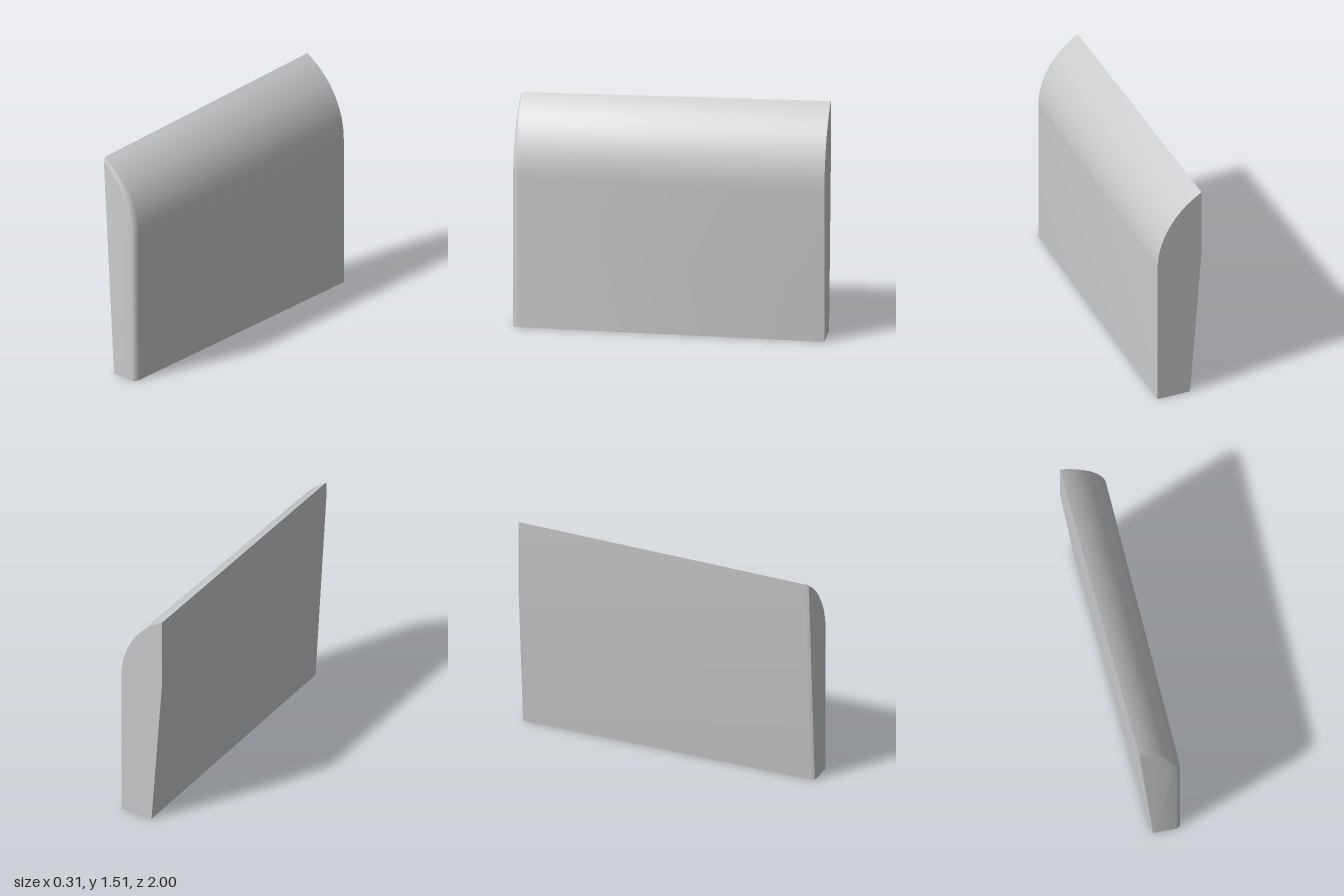
import * as THREE from 'three';
import { toCreasedNormals } from 'three/addons/utils/BufferGeometryUtils.js';

const ARC_STEPS = 20;

// One cross-section, counterclockwise seen from the front:
// flat base, upright right side, arc over the top, short left edge, sloping left side.
function section({ z, base, left, kink, top, right, spring, tilt = 0 }) {
  const w = right - left, h = top - spring;
  const radius = (w * w + h * h) / (2 * w);
  const sweep = Math.asin(h / radius);
  const ring = [[base, 0], [right, 0]];
  for (let i = 0; i <= ARC_STEPS; i++) {
    const a = sweep * i / ARC_STEPS;
    ring.push([right - radius + radius * Math.cos(a), spring + radius * Math.sin(a)]);
  }
  ring.push([left, kink]);
  return ring.map(([x, y]) => new THREE.Vector3(x, y, z - tilt * Math.max(0, 0.08 - x)));
}

// Skin the sections and close both ends with fans
function loft(rings) {
  const n = rings[0].length, pos = [];
  const tri = (...points) => points.forEach((p) => pos.push(p.x, p.y, p.z));
  for (let i = 0; i < rings.length - 1; i++) {
    for (let j = 0; j < n; j++) {
      const k = (j + 1) % n;
      const a = rings[i][j], b = rings[i][k], c = rings[i + 1][k], d = rings[i + 1][j];
      tri(a, b, c);
      tri(a, c, d);
    }
  }
  const back = rings[0], front = rings[rings.length - 1];
  for (let j = 1; j < n - 1; j++) {
    tri(back[0], back[j + 1], back[j]);
    tri(front[0], front[j], front[j + 1]);
  }
  const geometry = new THREE.BufferGeometry();
  geometry.setAttribute('position', new THREE.Float32BufferAttribute(pos, 3));
  return toCreasedNormals(geometry, 0.6);
}

export function createModel() {
  const group = new THREE.Group();
  group.name = 'taperedPanel';

  // Full section at the back, slimmer at the front, then a small rounded nose
  const rings = [
    section({ z: -1, base: -0.075, left: -0.155, kink: 1.06, top: 1.51, right: 0.15, spring: 1 }),
    section({ z: 0.96, base: -0.075, left: -0.155, kink: 1.42, top: 1.482, right: 0.12, spring: 1 }),
    section({ z: 0.983, base: -0.072, left: -0.154, kink: 1.415, top: 1.473, right: 0.113, spring: 1, tilt: 0.02 }),
    section({ z: 0.996, base: -0.067, left: -0.152, kink: 1.4, top: 1.455, right: 0.1, spring: 1, tilt: 0.05 }),
    section({ z: 1, base: -0.06, left: -0.148, kink: 1.38, top: 1.43, right: 0.082, spring: 1, tilt: 0.06 }),
  ];
  const body = new THREE.Mesh(loft(rings), new THREE.MeshStandardMaterial({ color: 0xcccccc }));
  body.name = 'panelBody';
  group.add(body);
  return group;
}
